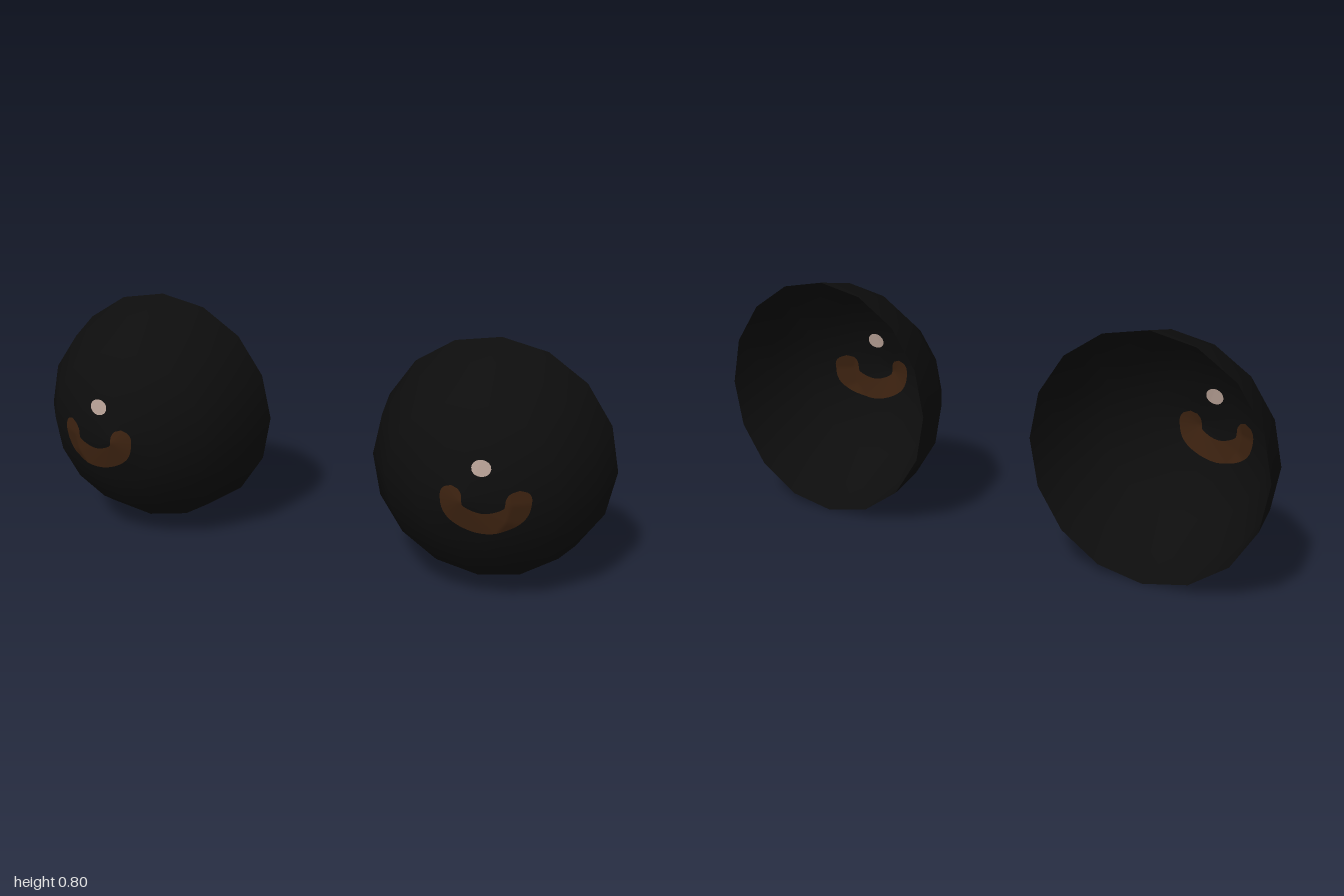
import * as THREE from 'three';

const R = 0.4, SIDES = 16, STEP = Math.PI * 2 / SIDES, BACK = -0.2;

// Depth of the faceted dome at an offset from its axis
function domeDepth(dx, dy) {
  const a = Math.atan2(dy, dx);
  const mid = (Math.floor(a / STEP) + 0.5) * STEP;
  const r = Math.hypot(dx, dy) * Math.cos(a - mid) / Math.cos(STEP / 2);
  const k = Math.floor(Math.asin(Math.min(r / R, 0.999)) / STEP);
  const r0 = R * Math.sin(k * STEP), r1 = R * Math.sin((k + 1) * STEP);
  const z0 = R * Math.cos(k * STEP), z1 = R * Math.cos((k + 1) * STEP);
  return z0 + (z1 - z0) * (r - r0) / (r1 - r0);
}

// Round-ended painted stroke laid on the dome; flat = untapered share of its length
function stroke(points, halfWidth, flat, side, lift) {
  const curve = new THREE.SplineCurve(points.map(([x, y]) => new THREE.Vector2(x, y)));
  const n = 48, m = 10, pos = [], index = [];
  for (let i = 0; i <= n; i++) {
    const t = i / n, p = curve.getPointAt(t), d = curve.getTangentAt(t);
    const e = Math.max(0, (Math.abs(2 * t - 1) - flat) / (1 - flat));
    const w = halfWidth * Math.sqrt(Math.max(0, 1 - e * e));
    for (let j = 0; j <= m; j++) {
      const s = w * (2 * j / m - 1);
      const x = (p.x - d.y * s) * side, y = p.y + d.x * s;
      pos.push(x, y, domeDepth(x, y) + lift);
      if (i < n && j < m) {
        const a = i * (m + 1) + j, b = a + m + 1;
        if (side > 0) index.push(a, b, b + 1, a, b + 1, a + 1);
        else index.push(a, b + 1, b, a, a + 1, b + 1);
      }
    }
  }
  const g = new THREE.BufferGeometry();
  g.setAttribute('position', new THREE.Float32BufferAttribute(pos, 3));
  g.setIndex(index);
  g.computeVertexNormals();
  return g;
}

export function createModel() {
  const material = (name, color) =>
    new THREE.MeshStandardMaterial({ name, color, side: THREE.DoubleSide });
  const black = material('black', 0x0d0d0d);
  const brown = material('brown', 0x3c2210);
  const pale = material('pale highlight', 0xb8a196);

  // Half-sphere profile, rim to front pole
  const profile = [];
  for (let k = 4; k >= 0; k--) {
    profile.push(new THREE.Vector2(R * Math.sin(k * STEP), R * Math.cos(k * STEP)));
  }
  const domeGeometry = new THREE.LatheGeometry(profile, SIDES).rotateX(Math.PI / 2);

  // Marks relative to the dome axis, x pointing outwards
  const crescent = [[-0.032, 0.046], [-0.02, -0.035], [0.07, -0.071], [0.16, -0.035], [0.172, 0.046]];
  const glint = [[0.025, 0.11], [0.055, 0.11], [0.086, 0.11]];

  const model = new THREE.Group();
  model.name = 'eyes';
  for (const side of [1, -1]) {
    const eye = new THREE.Group();
    eye.name = side > 0 ? 'leftEye' : 'rightEye';
    eye.position.set(0.6 * side, R, BACK);
    const add = (name, geometry, mat) => {
      const mesh = new THREE.Mesh(geometry, mat);
      mesh.name = name;
      eye.add(mesh);
    };
    add('eyeDome', domeGeometry, black);
    // The marks show on both the outside and the inside of the open dome
    for (const [face, lift] of [['outer', 0.003], ['inner', -0.003]]) {
      add(face + 'Crescent', stroke(crescent, 0.036, 0.8, side, lift), brown);
      add(face + 'Highlight', stroke(glint, 0.026, 0, side, lift), pale);
    }
    model.add(eye);
  }
  return model;
}
